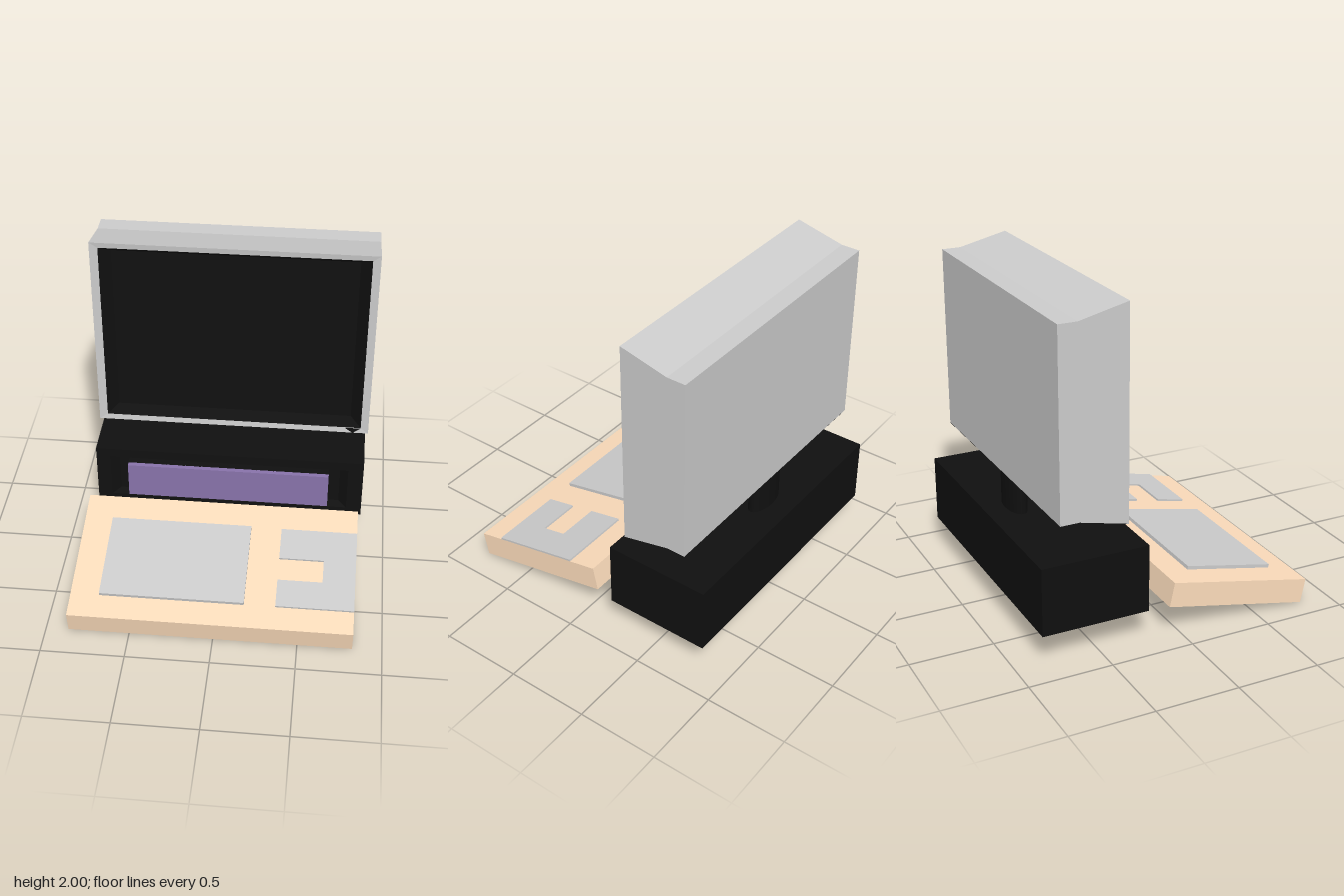
import * as THREE from 'three';

const mat = (color) => new THREE.MeshStandardMaterial({ color, flatShading: true });
const GREY = mat(0xcccccc), BLACK = mat(0x101010), TAN = mat(0xfcdcbb), PURPLE = mat(0x8873aa);

function add(parent, name, geometry, material, x = 0, y = 0, z = 0) {
  const mesh = new THREE.Mesh(geometry, material);
  mesh.name = name;
  mesh.position.set(x, y, z);
  parent.add(mesh);
  return mesh;
}

// Box given by its limits on each axis
function block(parent, name, material, [x0, x1], [y0, y1], [z0, z1]) {
  return add(parent, name, new THREE.BoxGeometry(x1 - x0, y1 - y0, z1 - z0), material,
    (x0 + x1) / 2, (y0 + y1) / 2, (z0 + z1) / 2);
}

// Skin over rectangles [x0, x1, y0, y1, z], listed from back to front or outside to inside
function loft(rings, capBack, capFront) {
  const loops = rings.map(([x0, x1, y0, y1, z]) => [[x0, y0, z], [x1, y0, z], [x1, y1, z], [x0, y1, z]]);
  const pos = [];
  const quad = (a, b, c, d) => pos.push(...a, ...b, ...c, ...a, ...c, ...d);
  for (let k = 0; k + 1 < loops.length; k++) {
    for (let i = 0; i < 4; i++) {
      const j = (i + 1) % 4;
      quad(loops[k][i], loops[k][j], loops[k + 1][j], loops[k + 1][i]);
    }
  }
  const first = loops[0], last = loops[loops.length - 1];
  if (capBack) quad(first[3], first[2], first[1], first[0]);
  if (capFront) quad(...last);
  const g = new THREE.BufferGeometry();
  g.setAttribute('position', new THREE.Float32BufferAttribute(pos, 3));
  g.computeVertexNormals();
  return g;
}

function buildMonitor() {
  const monitor = new THREE.Group();
  monitor.name = 'monitor';
  // Casing flares towards the front and ends in a narrow bezel
  const rim = [-0.775, 0.81, 0.775, 1.965, -0.32];
  add(monitor, 'casing', loft([
    [-0.825, 0.857, 0.81, 1.93, -0.724],
    [-0.825, 0.857, 0.81, 1.93, -0.61],
    [-0.825, 0.857, 0.74, 2.0, -0.315],
    rim,
  ], true, false), GREY);
  // Recessed screen with sloping walls
  add(monitor, 'screen', loft([rim, [-0.71, 0.745, 0.82, 1.92, -0.38]], false, true), BLACK);
  // Dark underside, following the flare
  const slope = add(monitor, 'undersideFront', new THREE.BoxGeometry(1.68, 0.006, 0.3), BLACK, 0.016, 0.775, -0.4625);
  slope.rotation.x = Math.atan2(0.07, 0.295);
  block(monitor, 'undersideBack', BLACK, [-0.824, 0.856], [0.807, 0.813], [-0.723, -0.61]);
  // Small dark mark on the lower bezel
  const mark = new THREE.Shape([[0.71, 0.776], [0.76, 0.741], [0.81, 0.776]].map((p) => new THREE.Vector2(...p)));
  add(monitor, 'bezelMark', new THREE.ShapeGeometry(mark), BLACK, 0, 0, -0.313);
  return monitor;
}

function buildBase() {
  const base = new THREE.Group();
  base.name = 'computerBase';
  // Box with a bevelled recess, from which the panel mount rises
  add(base, 'housing', loft([
    [-0.84, 0.845, 0.18, 0.59, -0.845],
    [-0.84, 0.845, 0.18, 0.59, -0.195],
    [-0.75, 0.75, 0.23, 0.53, -0.195],
    [-0.7, 0.7, 0.25, 0.51, -0.24],
    [-0.635, 0.63, 0.265, 0.5, -0.24],
    [-0.635, 0.63, 0.265, 0.5, -0.183],
  ], true, true), BLACK);
  block(base, 'frontPanel', PURPLE, [-0.635, 0.63], [0.265, 0.5], [-0.185, -0.155]);
  // Oval neck up to the monitor
  const neck = new THREE.CylinderGeometry(0.137, 0.137, 0.25, 24).scale(1, 1, 0.44);
  const mesh = add(base, 'neck', neck, BLACK.clone(), -0.027, 0.695, -0.66);
  mesh.material.flatShading = false;
  return base;
}

function buildKeyboard() {
  // Local origin at the lower front edge, tilted down to the front
  const keyboard = new THREE.Group();
  keyboard.name = 'keyboard';
  keyboard.position.set(0, 0, 0.81);
  keyboard.rotation.x = Math.atan2(0.185, 0.885);
  const top = 0.149;
  block(keyboard, 'board', TAN, [-0.865, 0.825], [0, top], [-0.904, 0]);
  block(keyboard, 'mainKeyPad', GREY, [-0.692, 0.173], [top - 0.005, top + 0.021], [-0.723, -0.156]);
  // C-shaped side pad, open towards the main pad
  const outline = [[0.36, 0.156], [0.825, 0.156], [0.825, 0.723], [0.36, 0.723],
    [0.36, 0.503], [0.63, 0.503], [0.63, 0.345], [0.36, 0.345]];
  const pad = new THREE.ExtrudeGeometry(
    new THREE.Shape(outline.map((p) => new THREE.Vector2(...p))), { depth: 0.012, bevelEnabled: false });
  add(keyboard, 'sideKeyPad', pad.rotateX(-Math.PI / 2), GREY, 0, top, 0);
  return keyboard;
}

export function createModel() {
  const model = new THREE.Group();
  model.name = 'desktopComputer';
  model.add(buildMonitor(), buildBase(), buildKeyboard());
  return model;
}
